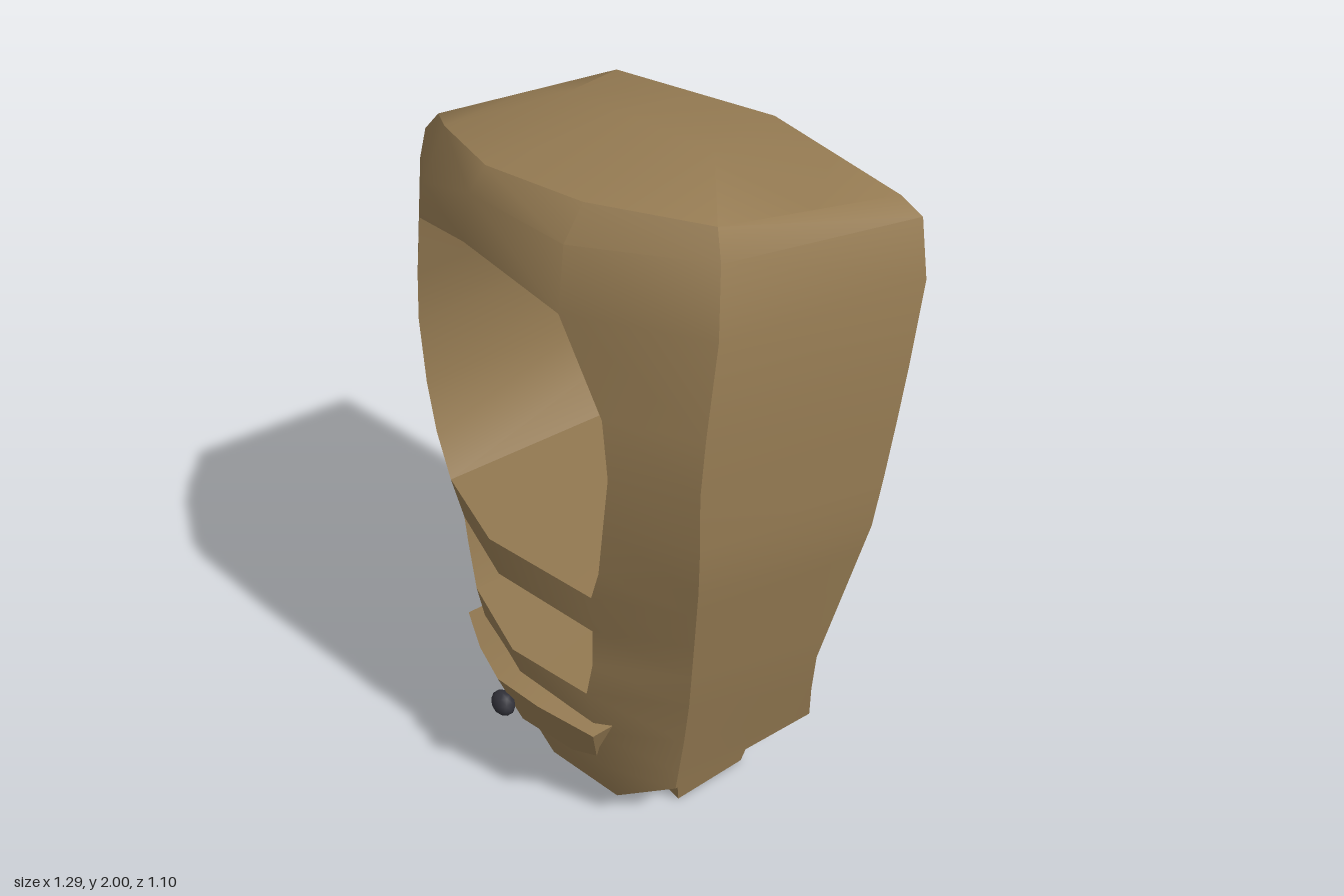
import * as THREE from 'three';
import { toCreasedNormals } from 'three/addons/utils/BufferGeometryUtils.js';

// Piecewise-linear column of the shell: points [y, x, z] from top to bottom, clamped at both ends
function column(points) {
  return (y) => {
    const last = points[points.length - 1];
    if (y >= points[0][0]) return new THREE.Vector3(points[0][1], points[0][0], points[0][2]);
    for (let i = 1; i < points.length; i++) {
      const [y0, x0, z0] = points[i - 1], [y1, x1, z1] = points[i];
      if (y >= y1) {
        const t = (y - y0) / (y1 - y0);
        return new THREE.Vector3(x0 + (x1 - x0) * t, y, z0 + (z1 - z0) * t);
      }
    }
    return new THREE.Vector3(last[1], last[0], last[2]);
  };
}

// Small surface collector
function surface() {
  const pos = [];
  const tri = (...p) => p.forEach((v) => pos.push(v.x, v.y, v.z));
  const quad = (a, b, c, d) => { tri(a, b, c); tri(a, c, d); };
  const grid = (rows, skip = () => false) => {
    for (let i = 0; i < rows.length - 1; i++)
      for (let j = 0; j < rows[i].length - 1; j++)
        if (!skip(i, j)) quad(rows[i][j], rows[i + 1][j], rows[i + 1][j + 1], rows[i][j + 1]);
  };
  const build = (angle) => {
    const g = new THREE.BufferGeometry();
    g.setAttribute('position', new THREE.Float32BufferAttribute(pos, 3));
    return toCreasedNormals(g, angle);
  };
  return { tri, quad, grid, build };
}

const V = (p) => new THREE.Vector3(...p);
const mid = (a, b) => a.clone().lerp(b, 0.5);

// Front corners, opening edges and centre line
const frontRightSide = column([[1.87, -.59, .2], [1.8, -.645, .23], [1.65, -.655, .24], [1.25, -.6, .26],
  [.98, -.52, .25], [.7, -.44, .24], [.45, -.38, .22], [.17, -.345, .215]]);
const openingRight = column([[1.95, -.35, .32], [1.85, -.35, .39], [1.73, -.34, .42], [1.55, -.38, .42],
  [1.4, -.4, .42], [1.2, -.39, .42], [1.05, -.35, .425], [.93, -.275, .435], [.79, -.26, .41],
  [.7, -.25, .41], [.555, -.205, .42], [.25, -.2, .37], [.1, -.19, .33]]);
const centre = column([[1.985, -.03, .4], [1.93, -.03, .45], [1.81, -.03, .475], [.945, .03, .5],
  [.83, .05, .49], [.56, .08, .48], [.25, .09, .42], [.075, .1, .37]]);
const openingLeft = column([[1.985, .26, .33], [1.91, .28, .4], [1.75, .295, .43], [1.52, .43, .41],
  [1.36, .45, .41], [1.2, .44, .42], [1.05, .42, .42], [.96, .4, .43], [.83, .39, .42],
  [.7, .385, .42], [.57, .355, .42], [.25, .36, .37], [.1, .37, .33]]);
const frontLeftSide = column([[1.97, .51, .15], [1.91, .56, .18], [1.8, .605, .21], [1.57, .635, .265],
  [1.35, .635, .28], [1.13, .64, .275], [.85, .6, .25], [.5, .55, .22], [.17, .5, .215]]);
// Back corners and back centre line
const backLeft = column([[1.88, .52, -.42], [1.84, .58, -.44], [1.7, .61, -.45], [1.4, .63, -.4],
  [1.0, .645, -.33], [.47, .58, -.225], [.17, .52, -.295]]);
const backCentre = column([[1.87, -.03, -.51], [1.78, -.03, -.545], [1.7, -.02, -.55], [1.4, 0, -.5],
  [1.1, .03, -.45], [.7, .06, -.38], [.17, .09, -.3], [.075, .09, -.29]]);
const backRight = column([[1.85, -.59, -.4], [1.78, -.64, -.42], [1.65, -.655, -.42], [1.3, -.6, -.38],
  [.98, -.53, -.33], [.47, -.39, -.23], [.17, -.345, -.295]]);

// Heights of each row at the opening's right edge, centre and left edge
const ROWS = [[9, 9, 9], [1.82, 1.93, 1.91], [1.73, 1.81, 1.75], [1.55, 1.55, 1.52], [1.4, 1.38, 1.36],
  [1.2, 1.2, 1.2], [1.05, 1.05, 1.05], [.93, .945, .96], [.79, .83, .83], [.7, .7, .7],
  [.555, .56, .57], [.4, .4, .4], [.25, .25, .25], [0, 0, 0]];
const OPENINGS = [[2, 7], [8, 10]]; // first and last row of each opening

function cabinetRings() {
  return ROWS.map(([l, c, r]) => {
    const ring = [frontRightSide(l), openingRight(l), centre(c), openingLeft(r), frontLeftSide(r),
      backLeft(r - .07), backCentre((l + r) / 2 - .05), backRight(l - .04)];
    return [...ring, ring[0]];
  });
}

function shellGeometry(rings) {
  const s = surface();
  s.grid(rings, (i, j) => (j === 1 || j === 2) && OPENINGS.some(([a, b]) => i >= a && i < b));
  const backRow = (k) => [k[7], mid(k[7], k[6]), k[6], mid(k[6], k[5]), k[5]];
  const top = rings[0], bottom = rings[rings.length - 1];
  // arched top and bowed underside
  const ridge = [mid(top[0], top[7]), V([-.33, 1.955, -.05]), V([-.03, 2, -.02]), V([.26, 1.995, -.05]),
    mid(top[4], top[5])];
  s.grid([backRow(top), ridge, top.slice(0, 5)]);
  s.grid([bottom.slice(0, 5), backRow(bottom)]);
  return s.build(.68);
}

// Inside walls and back of one opening
function recessGeometry(rings, [a, b]) {
  const s = surface();
  const inner = rings.slice(a + 1, b);
  const loop = [...rings[a].slice(1, 4), ...inner.map((k) => k[3]),
    rings[b][3], rings[b][2], rings[b][1], ...inner.map((k) => k[1]).reverse()];
  const back = loop.map((p, i) => new THREE.Vector3(p.x, p.y - (i < 3 ? .035 : 0), -.18));
  const hub = back.reduce((sum, p) => sum.add(p), new THREE.Vector3()).divideScalar(back.length);
  loop.forEach((p, i) => {
    const n = (i + 1) % loop.length;
    s.quad(p, back[i], back[n], loop[n]);
    s.tri(hub, back[n], back[i]);
  });
  return s.build(.68);
}

// Bowed drawer front
function drawerGeometry() {
  const s = surface();
  const top = [[-.25, .43, .43], [-.08, .452, .495], [.07, .465, .53], [.22, .455, .495], [.395, .44, .43]].map(V);
  const low = [[-.185, .28, .38], [-.1, .255, .41], [.07, .252, .455], [.26, .255, .41], [.34, .28, .38]].map(V);
  const atBack = (row) => row.map((p) => new THREE.Vector3(p.x, p.y, .345));
  const topBack = atBack(top), lowBack = atBack(low);
  s.grid([topBack, top, low, lowBack]);
  s.quad(topBack[0], lowBack[0], low[0], top[0]);
  s.quad(top[4], low[4], lowBack[4], topBack[4]);
  return s.build(.68);
}

// Foot block, wider at the top; side is +1 for the left foot
function footGeometry(side) {
  const g = new THREE.BoxGeometry(.11, .18, .25).toNonIndexed();
  const p = g.attributes.position;
  for (let i = 0; i < p.count; i++) {
    if (p.getY(i) > 0) {
      p.setZ(i, p.getZ(i) * 1.28);
      if (p.getX(i) * side > 0) p.setX(i, p.getX(i) + .03 * side);
    }
  }
  g.computeVertexNormals();
  return g;
}

export function createModel() {
  const wood = new THREE.MeshStandardMaterial({ color: 0x947a52 });
  wood.name = 'brown wood';
  const metal = new THREE.MeshStandardMaterial({ color: 0x32323a });
  metal.name = 'dark metal';
  const group = new THREE.Group();
  group.name = 'cabinet';
  const add = (name, geometry, material) => {
    const mesh = new THREE.Mesh(geometry, material);
    mesh.name = name;
    group.add(mesh);
    return mesh;
  };

  const rings = cabinetRings();
  add('cabinetShell', shellGeometry(rings), wood);
  ['largeRecess', 'smallRecess'].forEach((name, i) => add(name, recessGeometry(rings, OPENINGS[i]), wood));
  add('drawer', drawerGeometry(), wood);
  add('leftFoot', footGeometry(1), wood).position.set(.37, .09, .015);
  add('rightFoot', footGeometry(-1), wood).position.set(-.155, .09, .015);

  const knob = add('drawerKnob', new THREE.IcosahedronGeometry(.043, 1), metal);
  knob.position.set(.07, .36, .518);
  knob.scale.set(1, .9, .75);
  return group;
}
